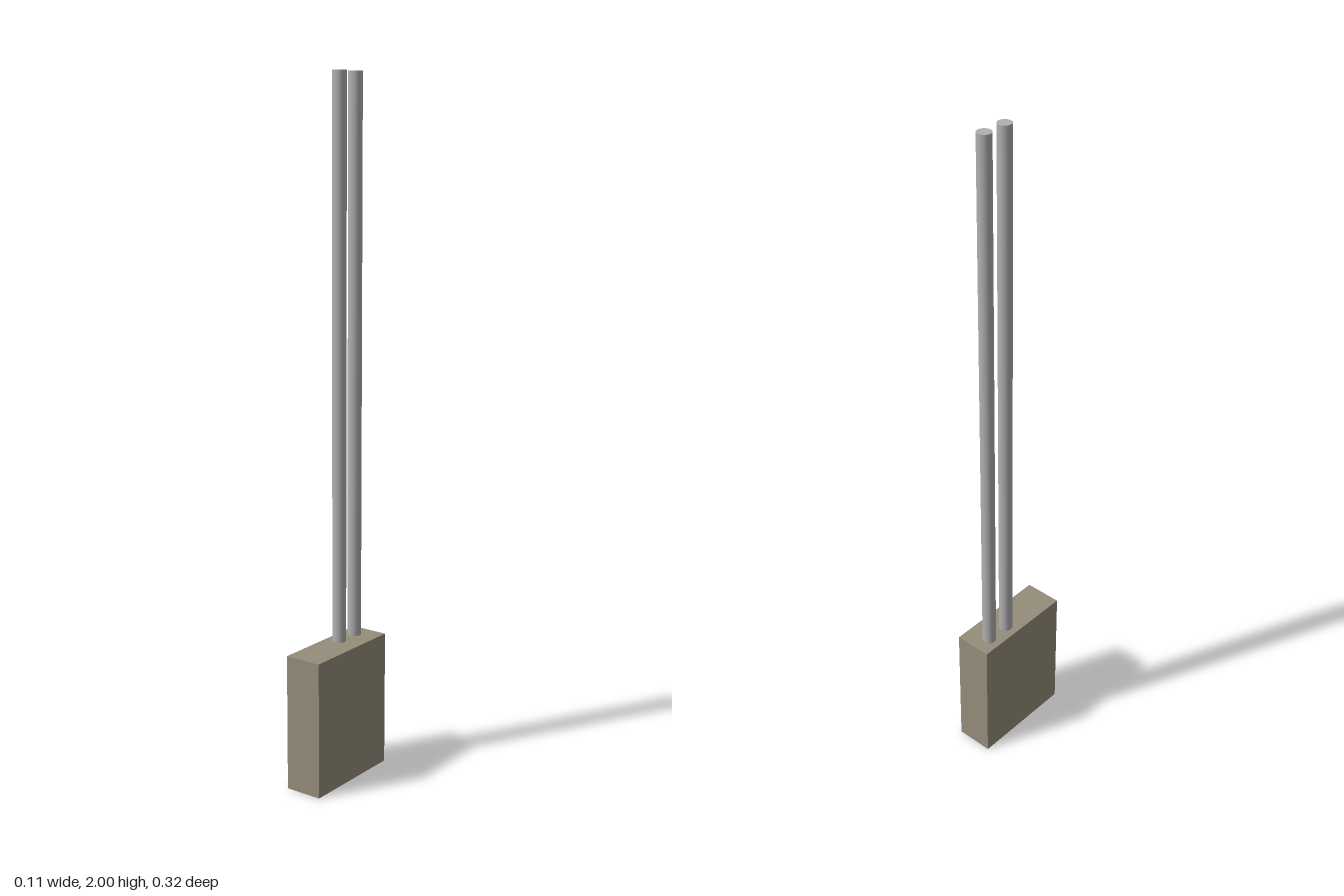
import * as THREE from 'three';

export function createModel() {
  const group = new THREE.Group();
  const bodyMat = new THREE.MeshStandardMaterial({ color: 0x968d7a });
  bodyMat.name = 'taupe casing';
  const leadMat = new THREE.MeshStandardMaterial({ color: 0xb0b0b0 });
  leadMat.name = 'grey metal';

  // Flat rectangular body
  const bodyHeight = 0.398;
  const body = new THREE.Mesh(new THREE.BoxGeometry(0.112, bodyHeight, 0.32), bodyMat);
  body.name = 'body';
  body.position.y = bodyHeight / 2;
  group.add(body);

  // Two long round leads rising from the top, offset to the back right
  const leadLength = 2 - bodyHeight;
  const leadGeometry = new THREE.CylinderGeometry(0.02, 0.02, leadLength, 40);
  [['frontLead', -0.032], ['backLead', -0.105]].forEach(([name, z]) => {
    const lead = new THREE.Mesh(leadGeometry, leadMat);
    lead.name = name;
    lead.position.set(-0.016, bodyHeight + leadLength / 2, z);
    group.add(lead);
  });

  return group;
}
